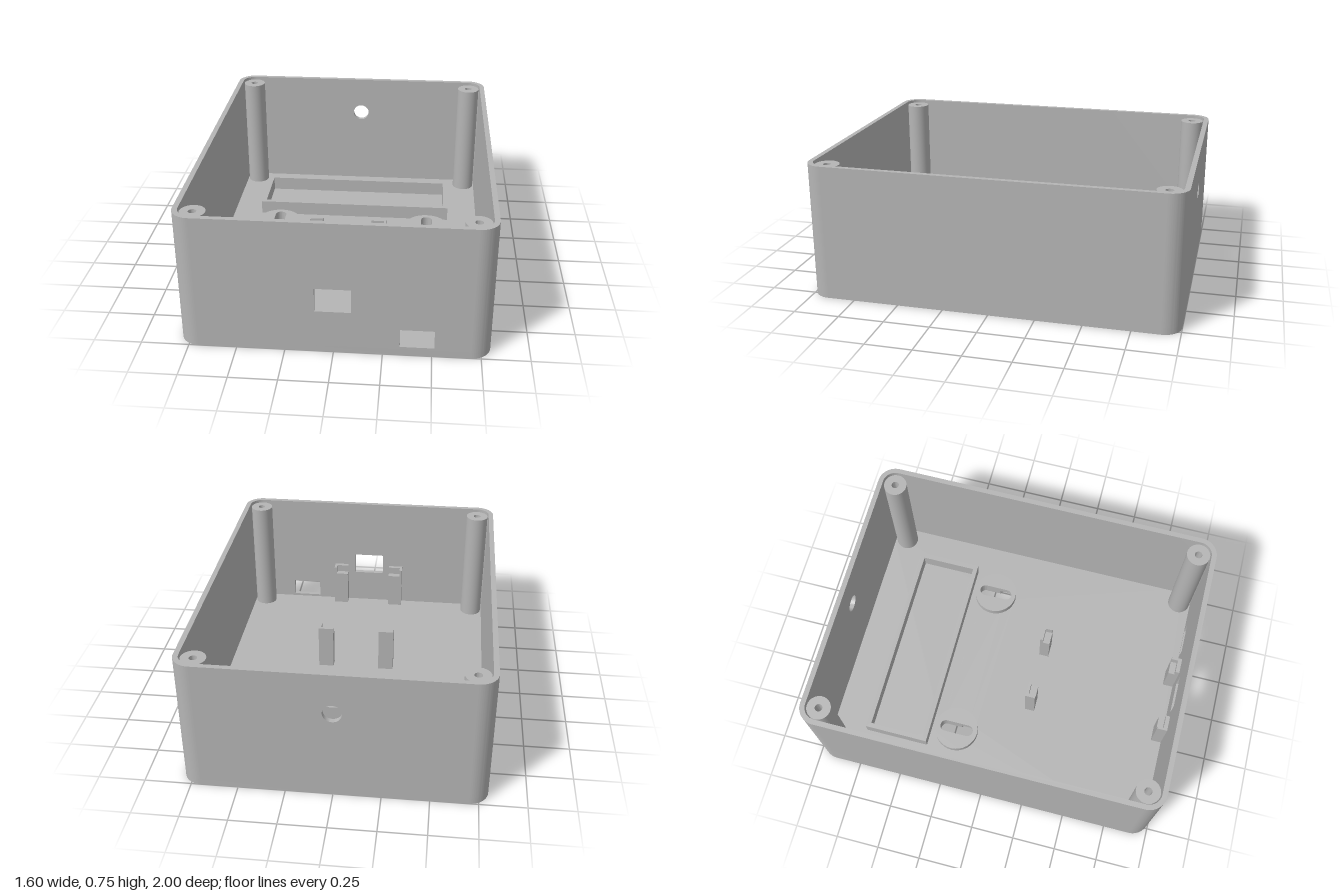
import * as THREE from 'three';
import { toCreasedNormals } from 'three/addons/utils/BufferGeometryUtils.js';

const W = 0.8, D = 1, H = 0.745, R = 0.1, WALL = 0.028, FLOOR = 0.035;

export function createModel() {
  const model = new THREE.Group();
  const grey = new THREE.MeshStandardMaterial({ color: 0xb5b5b5 });
  grey.name = 'grey plastic';

  const add = (name, geometry, parent = model) => {
    const mesh = new THREE.Mesh(toCreasedNormals(geometry, 0.5), grey);
    mesh.name = name;
    parent.add(mesh);
    return mesh;
  };
  const extrude = (shape, depth) =>
    new THREE.ExtrudeGeometry(shape, { depth, bevelEnabled: false, curveSegments: 16 });
  // Plan outline (shape y is -z) raised from y0 to y1
  const slab = (shape, y0, y1) => extrude(shape, y1 - y0).rotateX(-Math.PI / 2).translate(0, y0, 0);
  const rect = (x0, y0, x1, y1, Type = THREE.Shape) =>
    new Type([[x0, y0], [x1, y0], [x1, y1], [x0, y1]].map(p => new THREE.Vector2(...p)));
  const circle = (x, y, r, Type = THREE.Shape) => {
    const c = new Type();
    c.absarc(x, y, r, 0, Math.PI * 2, false);
    return c;
  };

  // Hanging slot and its wide entry, in plan
  const slotX = 0.46, slotR = 0.033, slotNear = 0.173, slotFar = 0.307, entryR = 0.056;
  const slot = x => {
    const p = new THREE.Path();
    p.absarc(x, slotFar, slotR, 0, Math.PI, false);
    p.absarc(x, slotNear, slotR, Math.PI, Math.PI * 2, false);
    p.closePath();
    return p;
  };
  const keyhole = x => {
    const a = Math.acos(slotR / entryR);
    const p = new THREE.Path();
    p.absarc(x, slotFar, slotR, 0, Math.PI, false);
    p.absarc(x, slotNear, entryR, Math.PI - a, Math.PI * 2 + a, false);
    p.closePath();
    return p;
  };

  // Floor with keyholes
  const base = new THREE.Shape();
  base.absarc(W - R, D - R, R, 0, Math.PI / 2, false);
  base.absarc(R - W, D - R, R, Math.PI / 2, Math.PI, false);
  base.absarc(R - W, R - D, R, Math.PI, Math.PI * 1.5, false);
  base.absarc(W - R, R - D, R, Math.PI * 1.5, Math.PI * 2, false);
  base.closePath();
  base.holes.push(keyhole(-slotX), keyhole(slotX));
  add('floor', slab(base, 0, FLOOR));

  // Side walls with rounded corners
  const side = new THREE.Shape();
  side.absarc(W - R, R - D, R, -Math.PI / 2, 0, false);
  side.absarc(W - R, D - R, R, 0, Math.PI / 2, false);
  side.absarc(W - R, D - R, R - WALL, Math.PI / 2, 0, true);
  side.absarc(W - R, R - D, R - WALL, 0, -Math.PI / 2, true);
  side.closePath();
  add('leftWall', slab(side, FLOOR, H));
  add('rightWall', slab(side, FLOOR, H).rotateY(Math.PI));

  // Front wall with two connector openings
  const front = rect(R - W, FLOOR, W - R, H);
  front.holes.push(rect(-0.095, 0.242, 0.09, 0.375, THREE.Path));
  front.holes.push(rect(0.337, 0.05, 0.512, 0.153, THREE.Path));
  add('frontWall', extrude(front, WALL).translate(0, 0, D - WALL));

  // Back wall with round cable hole
  const back = rect(R - W, FLOOR, W - R, H);
  back.holes.push(circle(0, 0.515, 0.05, THREE.Path));
  add('backWall', extrude(back, WALL).translate(0, 0, -D));

  // Battery tray frame
  const tray = rect(-0.595, 0.39, 0.59, 0.765);
  tray.holes.push(rect(-0.567, 0.416, 0.562, 0.738, THREE.Path));
  add('batteryFrame', slab(tray, FLOOR, 0.118));

  for (const s of [-1, 1]) {
    // Slotted bosses over the keyholes
    const boss = circle(s * slotX, 0.24, 0.128);
    boss.holes.push(slot(s * slotX));
    add('hangingBoss', slab(boss, FLOOR, 0.075));

    for (const t of [-1, 1]) {
      // Corner screw posts
      const post = circle(s * 0.7, t * 0.9, 0.066);
      post.holes.push(circle(s * 0.7, t * 0.9, 0.021, THREE.Path));
      add('screwPost', slab(post, FLOOR, H - 0.015));

      // Circuit board supports: a pillar with an L-shaped lip on its outer corner
      const support = new THREE.Group();
      support.name = 'boardSupport';
      model.add(support);
      const inX = s * 0.138, outX = s * 0.227, lipX = s * 0.212;
      const [inZ, outZ, lipZ] = t > 0 ? [0.912, 0.971, 0.948] : [0.183, 0.125, 0.142];
      add('pillar', slab(rect(inX, -inZ, outX, -outZ), FLOOR, 0.255), support);
      const lip = new THREE.Shape([[inX, outZ], [outX, outZ], [outX, inZ], [lipX, inZ], [lipX, lipZ], [inX, lipZ]]
        .map(([x, z]) => new THREE.Vector2(x, -z)));
      add('lip', slab(lip, 0.255, 0.3), support);
    }
  }
  return model;
}
